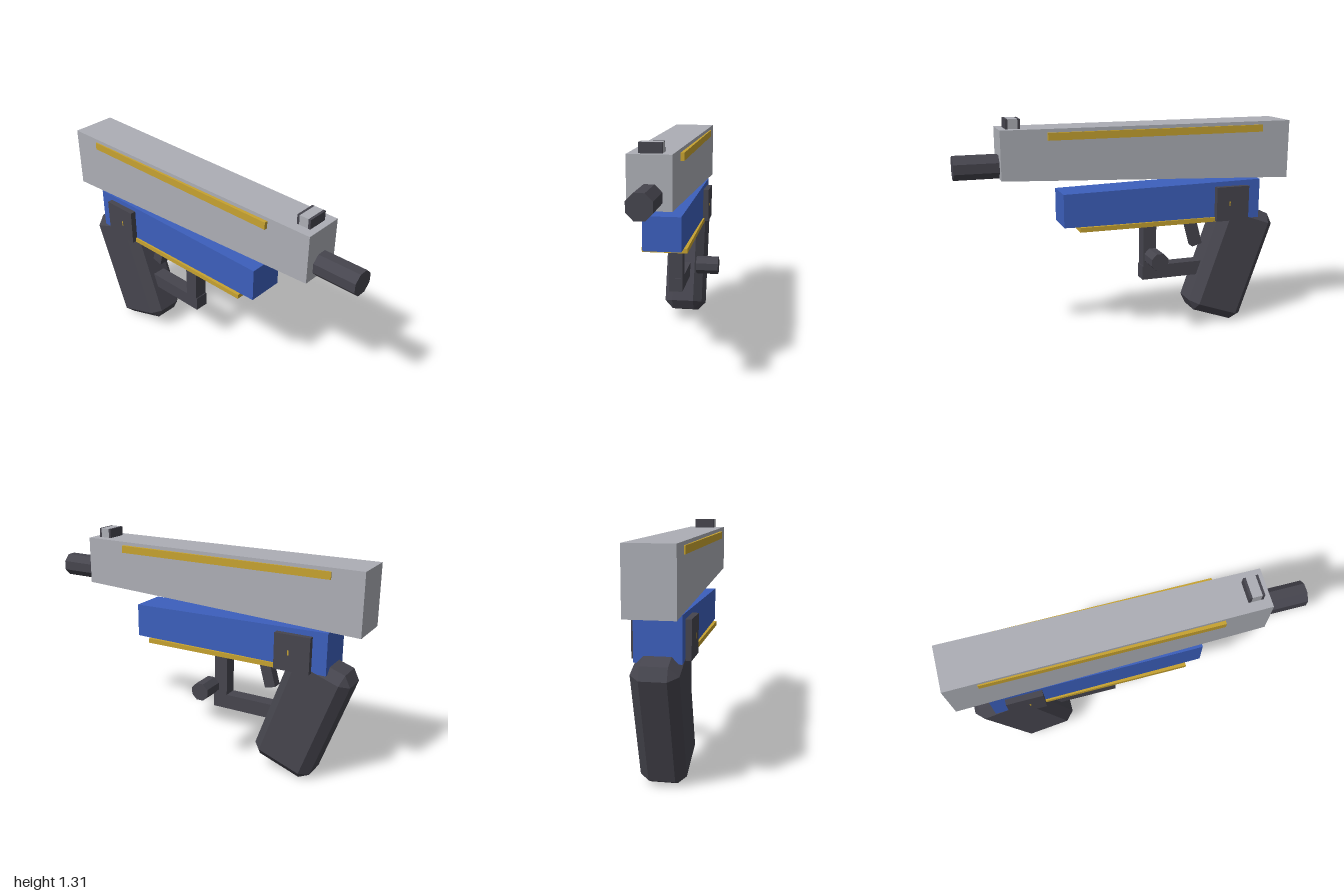
import * as THREE from 'three';
import { ConvexGeometry } from 'three/addons/geometries/ConvexGeometry.js';

const mat = (name, color) => {
  const m = new THREE.MeshStandardMaterial({ color });
  m.name = name;
  return m;
};

export function createModel() {
  const group = new THREE.Group();
  const grey = mat('light grey', 0xacaeb5);
  const blue = mat('blue', 0x3c5fbc);
  const dark = mat('charcoal', 0x46454e);
  const gold = mat('gold', 0xc6a230);
  const CX = -0.056; // centre plane of the body

  const add = (name, geometry, material) => {
    const mesh = new THREE.Mesh(geometry, material);
    mesh.name = name;
    group.add(mesh);
    return mesh;
  };

  // Box given by its limits on each axis
  const box = (name, material, [x0, x1], [y0, y1], [z0, z1]) =>
    add(name, new THREE.BoxGeometry(x1 - x0, y1 - y0, z1 - z0)
      .translate((x0 + x1) / 2, (y0 + y1) / 2, (z0 + z1) / 2), material);

  // Block whose front and back ends differ: { z, w: half width, y0, y1 }
  const taperedBlock = (name, material, front, back) => {
    const g = new THREE.BoxGeometry(2, 2, 2);
    const p = g.attributes.position;
    for (let i = 0; i < p.count; i++) {
      const end = p.getZ(i) > 0 ? front : back;
      p.setXYZ(i, CX + p.getX(i) * end.w, p.getY(i) > 0 ? end.y1 : end.y0, end.z);
    }
    g.computeVertexNormals();
    return add(name, g, material);
  };

  // Eight-sided rod along y with flat faces
  const rod = (apothem, length) => {
    const r = apothem / Math.cos(Math.PI / 8);
    const g = new THREE.CylinderGeometry(r, r, length, 8).rotateY(Math.PI / 8).toNonIndexed();
    g.computeVertexNormals();
    return g;
  };

  // Upper housing and lower receiver
  taperedBlock('upperHousing', grey,
    { z: 0.75, w: 0.114, y0: 0.985, y1: 1.262 }, { z: -1, w: 0.13, y0: 0.913, y1: 1.262 });
  taperedBlock('receiver', blue,
    { z: 0.405, w: 0.107, y0: 0.693, y1: 0.887 }, { z: -0.82, w: 0.122, y0: 0.67, y1: 0.911 });

  // Barrel
  add('barrel', rod(0.065, 0.35).rotateX(Math.PI / 2).translate(CX, 1.053, 0.825), dark);

  // Front sight: grey core between two dark plates
  const sightX = [CX - 0.06, CX + 0.06], sightY = [1.255, 1.316];
  box('sightCore', grey, sightX, sightY, [0.643, 0.697]);
  box('sightFront', dark, sightX, sightY, [0.697, 0.711]);
  box('sightBack', dark, sightX, sightY, [0.629, 0.643]);

  // Side stripes, side plates and their pins
  for (const s of [1, -1]) {
    const across = (a, b) => [CX + s * a, CX + s * b].sort((m, n) => m - n);
    box('sideStripe', gold, across(0.11, 0.136), [1.2, 1.242], [-0.82, 0.49]);
    box('sidePlate', dark, across(0.1, 0.153), [0.67, 0.878], [-0.735, -0.525]);
    box('platePin', gold, across(0.151, 0.154), [0.76, 0.79], [-0.614, -0.606]);
  }

  // Rail under the receiver
  box('lowerRail', gold, [CX - 0.128, CX + 0.128], [0.665, 0.692], [-0.64, 0.315]);

  // Grip: box with every edge bevelled, leaning back
  const half = [0.122, 0.357, 0.184], bevel = 0.052;
  const points = [];
  for (const x of [-1, 1]) for (const y of [-1, 1]) for (const z of [-1, 1]) {
    for (let full = 0; full < 3; full++) {
      points.push(new THREE.Vector3(...[x, y, z].map(
        (s, axis) => s * (half[axis] - (axis === full ? 0 : bevel)))));
    }
  }
  const grip = add('grip', new ConvexGeometry(points), dark);
  grip.position.set(CX, 0.3825, -0.6655);
  grip.rotation.x = -0.342;

  // Trigger guard
  const guardX = [CX - 0.042, CX + 0.042];
  box('guardPost', dark, guardX, [0.39, 0.68], [-0.178, -0.097]);
  box('guardBar', dark, guardX, [0.312, 0.398], [-0.56, -0.092]);

  // Slanted trigger
  const trigger = add('trigger', new THREE.BoxGeometry(0.06, 0.24, 0.066), dark);
  trigger.position.set(CX, 0.615, -0.42);
  trigger.rotation.x = -0.27;
  trigger.rotation.x *= -1;
  trigger.position.z = -0.422;

  // Side knob
  add('sideKnob', rod(0.05, 0.133).rotateZ(Math.PI / 2).translate(0.1385, 0.483, -0.122), dark);

  return group;
}
